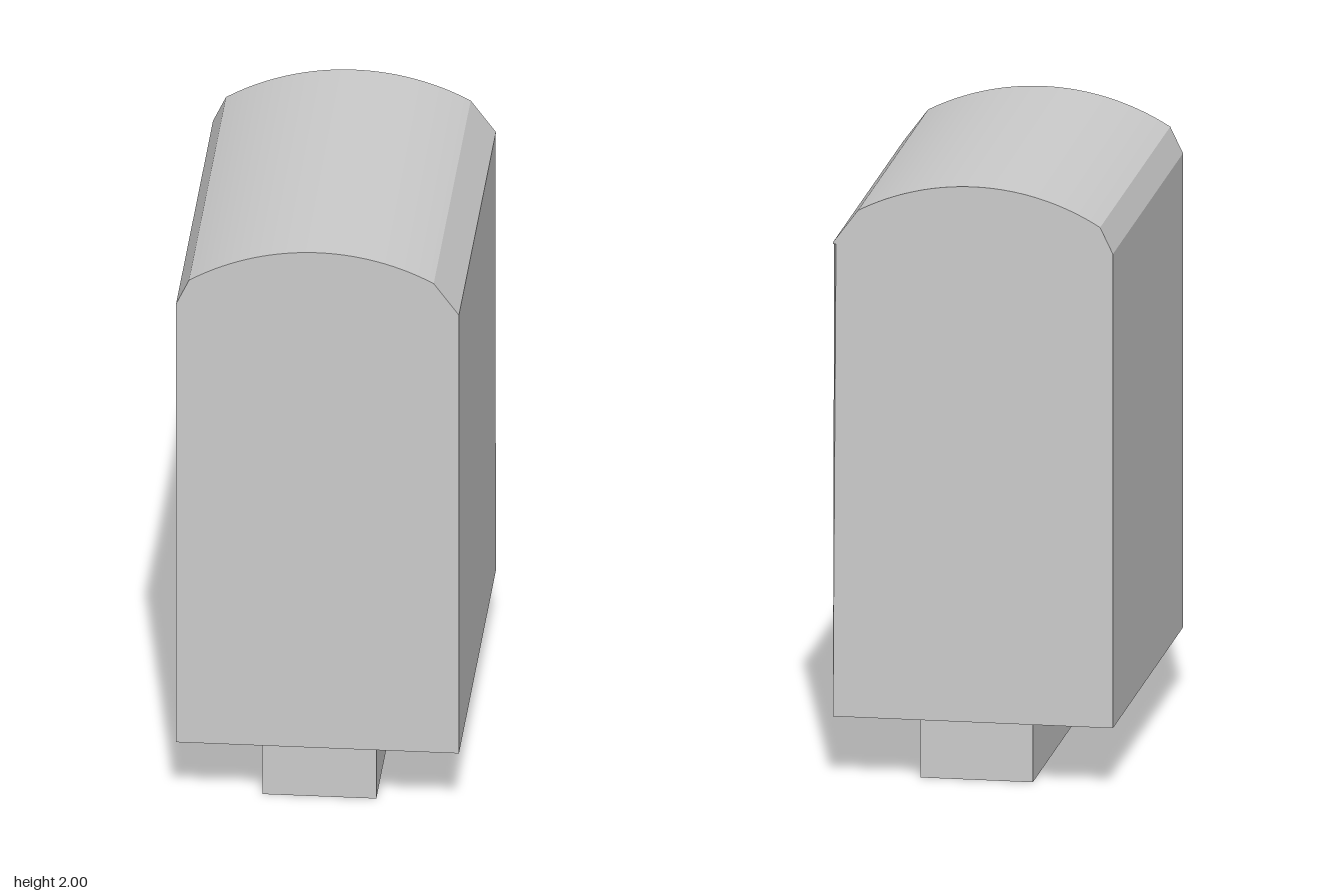
import * as THREE from 'three';
import { toCreasedNormals } from 'three/addons/utils/BufferGeometryUtils.js';
import { ConvexGeometry } from 'three/addons/geometries/ConvexGeometry.js';

const HALF_WIDTH = 0.46, HALF_DEPTH = 0.67;
const FOOT_TOP = 0.21, EAVES = 1.79;

export function createModel() {
  const group = new THREE.Group();
  const material = new THREE.MeshStandardMaterial({ color: 0xcccccc });
  const add = (name, geometry) => {
    const mesh = new THREE.Mesh(geometry, material);
    mesh.name = name;
    group.add(mesh);
    return mesh;
  };

  // Foot: narrow block under the body
  add('foot', new THREE.BoxGeometry(0.37, FOOT_TOP, 1.2)).position.y = FOOT_TOP / 2;

  // Body: tall box with a thin tapering chamfer on one back corner
  const corners = [];
  for (const x of [-HALF_WIDTH, HALF_WIDTH])
    for (const z of [-HALF_DEPTH, HALF_DEPTH])
      for (const y of [FOOT_TOP, EAVES])
        if (!(x > 0 && z < 0 && y === EAVES)) corners.push(new THREE.Vector3(x, y, z));
  corners.push(
    new THREE.Vector3(HALF_WIDTH, EAVES, -HALF_DEPTH + 0.022),
    new THREE.Vector3(HALF_WIDTH - 0.01, EAVES, -HALF_DEPTH)
  );
  add('body', new ConvexGeometry(corners));

  // Roof: shallow arc with a wide bevel on one side and a narrow one on the other
  const radius = 0.8;
  const profile = new THREE.Shape();
  profile.moveTo(-HALF_WIDTH, EAVES);
  profile.lineTo(HALF_WIDTH, EAVES);
  profile.lineTo(HALF_WIDTH, EAVES + 0.005);
  profile.absarc(0, 2 - radius, radius, Math.acos(0.378 / radius), Math.acos(-0.418 / radius), false);
  profile.lineTo(-HALF_WIDTH, EAVES + 0.005);
  const roof = new THREE.ExtrudeGeometry(profile, {
    depth: HALF_DEPTH * 2, bevelEnabled: false, curveSegments: 24
  });
  roof.translate(0, 0, -HALF_DEPTH);
  add('roof', toCreasedNormals(roof, 0.2));

  return group;
}
